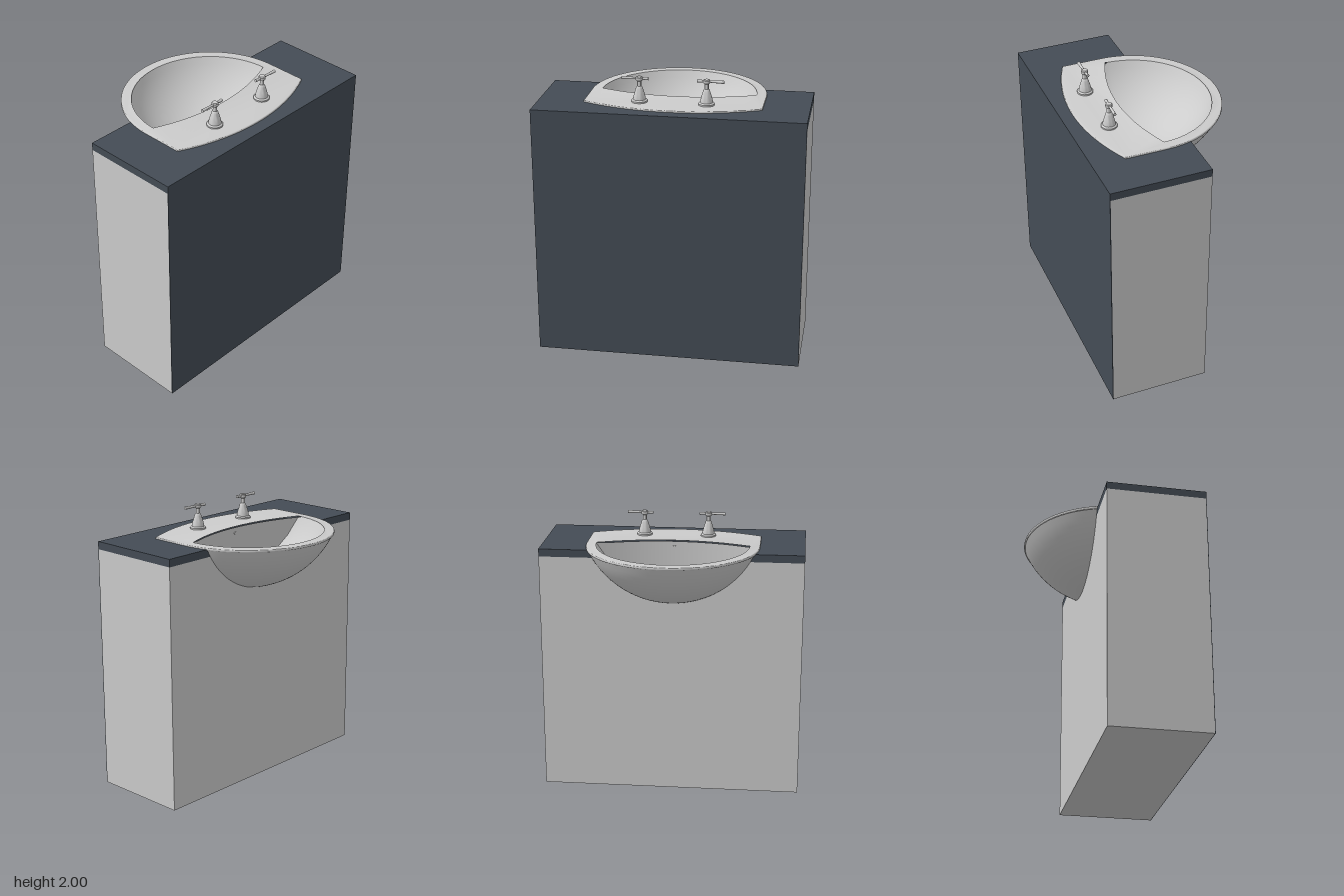
import * as THREE from 'three';
import { mergeVertices, toCreasedNormals } from 'three/addons/utils/BufferGeometryUtils.js';

const CZ = 0.045;      // z of the bowl centre
const TOP = 1.81;      // counter height
const W = 0.94, BACK = -0.135, FRONT = 0.575;

// points of an arc in (x, z), angle measured from +x towards +z
function arc(cz, r, a0, a1, n) {
  const pts = [];
  for (let i = 0; i <= n; i++) {
    const a = a0 + (a1 - a0) * i / n;
    pts.push([r * Math.cos(a), cz + r * Math.sin(a)]);
  }
  return pts;
}
const toShapePoints = (pts) => pts.map(([x, z]) => new THREE.Vector2(x, -z));

// extrude an (x, z) outline upward from height y
function slab(shape, y, options) {
  const g = new THREE.ExtrudeGeometry(shape, { bevelEnabled: false, ...options });
  return g.rotateX(-Math.PI / 2).translate(0, y, 0);
}

// warp a grid by a rule (u, v) -> [x, y, z] and smooth it
function surface(nu, nv, rule) {
  const g = new THREE.PlaneGeometry(1, 1, nu, nv);
  const p = g.attributes.position;
  for (let i = 0; i < p.count; i++) p.setXYZ(i, ...rule(p.getX(i) + 0.5, p.getY(i) + 0.5));
  g.deleteAttribute('uv');
  g.deleteAttribute('normal');
  const m = mergeVertices(g, 1e-5);
  m.computeVertexNormals();
  return m;
}

export function createModel() {
  const model = new THREE.Group();
  const light = new THREE.MeshStandardMaterial({ color: 0xcccccc });
  light.name = 'lightGrey';
  const lightOpen = new THREE.MeshStandardMaterial({ color: 0xcccccc, side: THREE.DoubleSide });
  lightOpen.name = 'lightGreyOpen';
  const dark = new THREE.MeshStandardMaterial({ color: 0x444c55 });
  dark.name = 'slate';
  const add = (name, geometry, material, parent = model) => {
    const mesh = new THREE.Mesh(geometry, material);
    mesh.name = name;
    parent.add(mesh);
    return mesh;
  };

  // cabinet, notched so the bowl can pass through its back
  const underTop = 1.755, notchY = 2.087, notchR = 0.645;
  const a = Math.asin((notchY - underTop) / notchR);
  const side = new THREE.Shape();
  side.moveTo(-W, 0);
  side.lineTo(W, 0);
  side.lineTo(W, underTop);
  side.lineTo(notchR * Math.cos(a), underTop);
  side.absarc(0, notchY, notchR, -a, -Math.PI + a, true);
  side.lineTo(-W, underTop);
  side.closePath();
  const plate = 0.004;
  const body = new THREE.ExtrudeGeometry(side, {
    depth: FRONT - plate - BACK, bevelEnabled: false, curveSegments: 48,
  });
  add('cabinet', body.translate(0, 0, BACK), light);
  add('frontPanel', new THREE.BoxGeometry(2 * W, underTop, plate)
    .translate(0, underTop / 2, FRONT - plate / 2), dark);

  // countertop with a cut-out open to the back
  const cutR = 0.58;
  const b = Math.asin((CZ - BACK) / cutR);
  const top = new THREE.Shape(toShapePoints([
    [-W, FRONT], [W, FRONT], [W, BACK],
    ...arc(CZ, cutR, -b, 0, 10), [cutR, 0.2], [-cutR, 0.2],
    ...arc(CZ, cutR, -Math.PI, -Math.PI + b, 10), [-W, BACK],
  ]));
  add('countertop', slab(top, underTop, { depth: TOP - underTop }), dark);

  // basin deck: round back, straight sides, bowed front
  const sink = new THREE.Group();
  sink.name = 'sink';
  model.add(sink);
  const bowR = 1.398, bowZ = 0.485 - bowR, bowA = Math.asin(0.62 / bowR);
  const wallR = 1.373, wallZ = 0.16 - wallR, wallA = Math.asin(0.55 / wallR);
  const q = Math.PI / 2;
  const deck = new THREE.Shape(toShapePoints([
    ...arc(CZ, 0.62, -Math.PI, 0, 64),
    ...arc(bowZ, bowR, q - bowA, q + bowA, 32),
  ]));
  deck.holes.push(new THREE.Path(toShapePoints([
    ...arc(CZ, 0.555, -Math.PI, 0, 64),
    ...arc(wallZ, wallR, q - wallA, q + wallA, 32).slice(1, -1),
  ])));
  const bevel = 0.007;
  add('basinDeck', toCreasedNormals(slab(deck, 1.801 + bevel, {
    depth: 0.007, bevelEnabled: true, bevelSize: bevel, bevelThickness: bevel,
    bevelOffset: -bevel, bevelSegments: 3,
  }), 0.6), light, sink);

  // outer bowl: back half of a spherical cap
  const outer = [];
  for (let i = 0; i <= 24; i++) {
    const r = 0.614 * i / 24;
    outer.push(new THREE.Vector2(r, 2.087 - Math.sqrt(0.675 ** 2 - r * r)));
  }
  add('outerBowl', new THREE.LatheGeometry(outer, 64, q, Math.PI).translate(0, 0, CZ), lightOpen, sink);

  // inner bowl: spherical cap cut off by the bowed front wall
  const floorY = (r) => 2.067 - Math.sqrt(0.607 ** 2 - r * r);
  const D = CZ - wallZ;
  const reach = (phi) => {
    const s = Math.sin(phi);
    return s <= 0 ? 0.555 : -D * s + Math.sqrt(D * D * s * s + wallR ** 2 - D * D);
  };
  add('innerBowl', surface(96, 24, (u, v) => {
    const phi = u * 2 * Math.PI, r = v * reach(phi);
    return [r * Math.cos(phi), floorY(r), CZ + r * Math.sin(phi)];
  }), lightOpen, sink);
  add('bowlFrontWall', surface(48, 4, (u, v) => {
    const phi = u * Math.PI, r = reach(phi), y = floorY(r);
    return [r * Math.cos(phi), y + v * Math.max(0, 1.812 - y), CZ + r * Math.sin(phi)];
  }), lightOpen, sink);
  add('drain', new THREE.CylinderGeometry(0.06, 0.06, 0.006, 32).translate(0, 1.463, CZ), light, sink);
  add('overflowSlot', new THREE.CylinderGeometry(0.018, 0.018, 0.008, 20)
    .rotateX(q).scale(1, 0.6, 1).translate(0, 1.77, 0.158), light, sink);

  // pair of taps with lever handles
  const profile = [
    [0, 1.818], [0.056, 1.818], [0.056, 1.832], [0.052, 1.837], [0.044, 1.84], [0.042, 1.856],
    [0.036, 1.88], [0.025, 1.915], [0.021, 1.928], [0.015, 1.934], [0.014, 1.968],
    [0.023, 1.974], [0.025, 1.982], [0.024, 1.994], [0.019, 2], [0, 2],
  ].map(([r, y]) => new THREE.Vector2(r, y));
  for (const s of [1, -1]) {
    const tap = new THREE.Group();
    tap.name = s > 0 ? 'leftTap' : 'rightTap';
    tap.position.set(s * 0.233, 0, 0.308);
    tap.rotation.y = s > 0 ? -0.04 : 0;
    sink.add(tap);
    add('tapBody', toCreasedNormals(new THREE.LatheGeometry(profile, 32), 0.6), light, tap);
    const lever = (name, from, to, r0, r1) => add(name,
      new THREE.CylinderGeometry(r1, r0, to - from, 16).rotateZ(-q)
        .translate((from + to) / 2, 1.987, 0).rotateY(s > 0 ? 0 : Math.PI), light, tap);
    lever('longLever', 0, 0.122, 0.007, 0.011);
    lever('shortLever', -0.064, 0, 0.011, 0.007);
  }
  return model;
}
